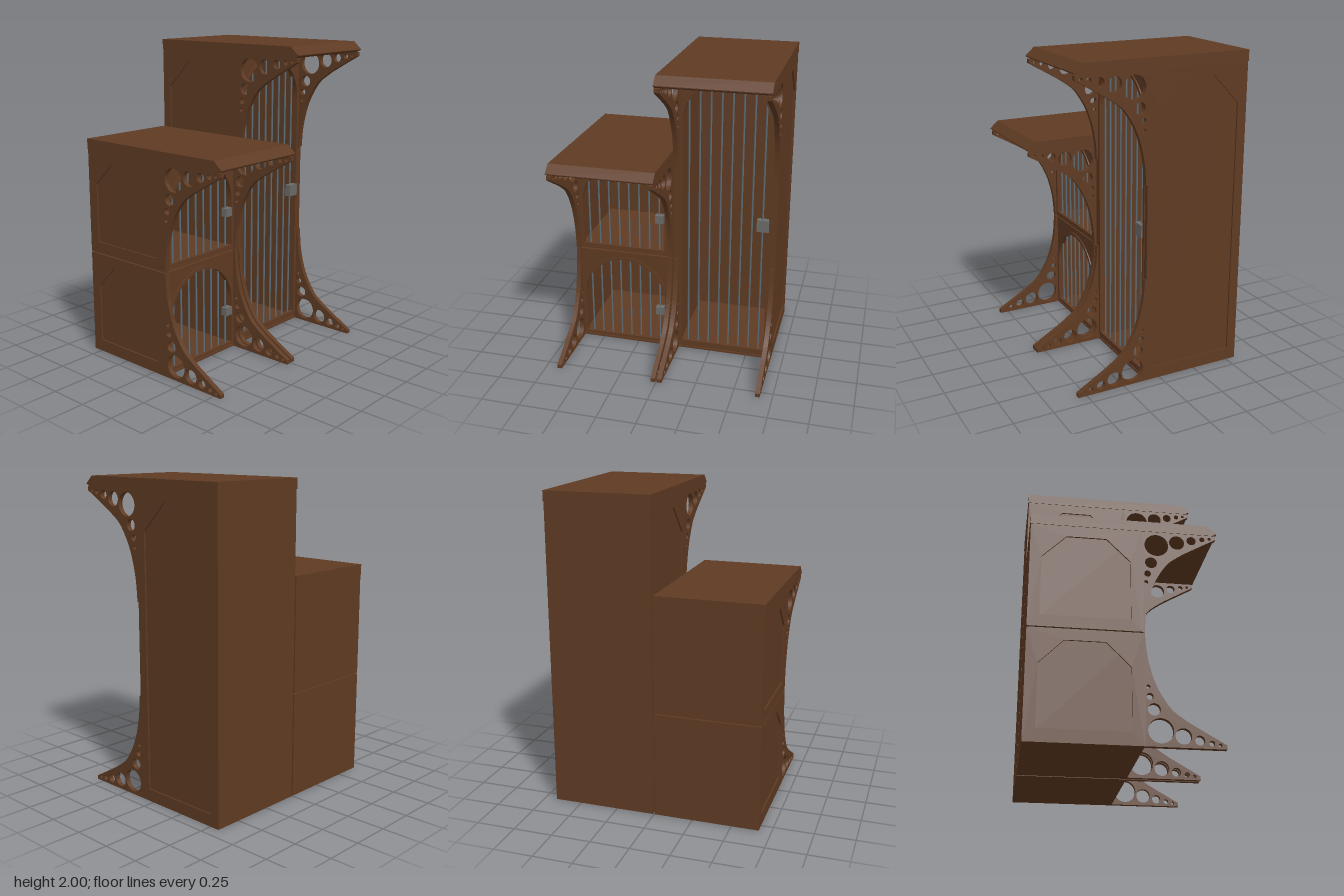
import * as THREE from 'three';

const wood = new THREE.MeshStandardMaterial({ color: 0x5e3a22 });
wood.name = 'brown wood';
const steel = new THREE.MeshStandardMaterial({ color: 0x5c6c76 });
steel.name = 'blue grey steel';
const lockMetal = new THREE.MeshStandardMaterial({ color: 0x6a6a68 });
lockMetal.name = 'grey lock metal';

const BACK = -0.565, FRONT = 0.1, WALL = 0.03;

function add(parent, name, geometry, material = wood) {
  const mesh = new THREE.Mesh(geometry, material);
  mesh.name = name;
  parent.add(mesh);
  return mesh;
}

function box(parent, name, x0, x1, y0, y1, z0, z1, material) {
  const g = new THREE.BoxGeometry(x1 - x0, y1 - y0, z1 - z0);
  g.translate((x0 + x1) / 2, (y0 + y1) / 2, (z0 + z1) / 2);
  return add(parent, name, g, material);
}

function extrude(shape, depth) {
  return new THREE.ExtrudeGeometry(shape, { depth, bevelEnabled: false, curveSegments: 24 });
}

const polygon = (pts) => new THREE.Shape(pts.map(([x, y]) => new THREE.Vector2(x, y)));
const rect = (x0, x1, y0, y1) => polygon([[x0, y0], [x1, y0], [x1, y1], [x0, y1]]);

// Round-topped outline centred on x = 0
function arch(r, bottom, top) {
  const s = new THREE.Shape();
  s.moveTo(-r, bottom);
  s.lineTo(r, bottom);
  s.lineTo(r, top - r);
  s.absarc(0, top - r, r, 0, Math.PI, false);
  s.closePath();
  return s;
}

// Side wall with a shallow recessed panel whose upper corners are cut
function sideWall(parent, y0, y1, zOuter, dir, p) {
  const frame = rect(BACK, FRONT, y0, y1);
  frame.holes.push(polygon([
    [p.x0, p.bottom], [p.x1, p.bottom], [p.x1, p.shoulder],
    [p.x1 - p.cut, p.top], [p.x0 + p.cut, p.top], [p.x0, p.shoulder],
  ]));
  const mesh = add(parent, 'sideFrame', extrude(frame, 0.01));
  mesh.position.z = dir > 0 ? zOuter - 0.01 : zOuter;
  const a = zOuter - dir * 0.01, b = zOuter - dir * WALL;
  box(parent, 'sidePanel', BACK, FRONT, y0, y1, Math.min(a, b), Math.max(a, b));
}

// Arched door with trim, bars and a lock
function door(parent, y0, y1, zc, o) {
  const r = 0.28;
  const group = new THREE.Group();
  group.name = 'door';
  group.rotation.y = Math.PI / 2; // local x runs to -z, local z to +x
  group.position.z = zc;
  parent.add(group);

  const leaf = rect(-0.303, 0.303, y0 + 0.015, y1 - 0.005);
  leaf.holes.push(arch(r, o.bottom, o.top));
  add(group, 'doorLeaf', extrude(leaf, 0.025)).position.z = FRONT - 0.03;

  const trim = arch(r + 0.02, o.bottom - 0.02, o.top + 0.02);
  trim.holes.push(arch(r, o.bottom, o.top));
  add(group, 'archTrim', extrude(trim, 0.01)).position.z = FRONT - 0.007;

  for (let i = 0; i < 8; i++) {
    const u = (i - 3.5) * 0.0685;
    const top = o.top - r + Math.sqrt(r * r - u * u);
    const bar = new THREE.CylinderGeometry(0.006, 0.006, top - o.bottom, 8);
    bar.translate(u, (top + o.bottom) / 2, FRONT - 0.018);
    add(group, 'bar', bar, steel);
  }
  const h = o.lock / 2;
  box(group, 'lock', 0.245 - h, 0.245 + h, o.lockY - h, o.lockY + h, FRONT - 0.03, FRONT + 0.012, lockMetal);
}

// Hollow box open at the front, closed by the door
function cage(parent, y0, y1, z0, z1, panel, opening) {
  const group = new THREE.Group();
  group.name = 'cage';
  parent.add(group);
  box(group, 'backWall', BACK, BACK + WALL, y0, y1, z0 + WALL, z1 - WALL);
  box(group, 'floor', BACK + WALL, FRONT - 0.03, y0, y0 + 0.02, z0 + WALL, z1 - WALL);
  box(group, 'ceiling', BACK + WALL, FRONT - 0.03, y1 - 0.02, y1, z0 + WALL, z1 - WALL);
  box(group, 'sill', FRONT - 0.03, FRONT, y0, y0 + 0.012, z0 + WALL, z1 - WALL);
  sideWall(group, y0, y1, z1, 1, panel);
  sideWall(group, y0, y1, z0, -1, panel);
  door(group, y0, y1, (z0 + z1) / 2, opening);
}

// Curved bracket pierced by shrinking round holes
const curve = new THREE.SplineCurve([
  [0.555, 0.025], [0.42, 0.102], [0.325, 0.16], [0.245, 0.227],
  [0.168, 0.36], [0.124, 0.52], [0.11, 0.672],
].map(([x, y]) => new THREE.Vector2(x, y)));
const holes = [
  [0.19, 0.092, 0.072], [0.315, 0.065, 0.046], [0.405, 0.045, 0.028], [0.472, 0.031, 0.016],
  [0.518, 0.023, 0.01], [0.155, 0.213, 0.036], [0.133, 0.288, 0.02], [0.124, 0.345, 0.012],
];

function bracketGeometry(flip) {
  const f = flip ? -1 : 1;
  const pts = [[FRONT, 0], [0.555, 0], ...curve.getPoints(30).map((p) => [p.x, p.y]), [FRONT, 0.672]];
  const shape = polygon(pts.map(([x, y]) => [x, f * y]));
  for (const [x, y, r] of holes) {
    const hole = new THREE.Path();
    hole.absarc(x, f * y, r, 0, Math.PI * 2, false);
    shape.holes.push(hole);
  }
  return extrude(shape, WALL);
}

function brackets(parent, roofBottom, z0, z1) {
  for (const z of [z0, z1 - WALL]) {
    add(parent, 'lowerBracket', bracketGeometry(false)).position.z = z;
    add(parent, 'upperBracket', bracketGeometry(true)).position.set(0, roofBottom, z);
  }
}

// Overhanging roof with a sloped front edge
function roof(parent, top, z0, z1) {
  const b = top - 0.067;
  const shape = polygon([
    [-0.567, b], [0.535, b], [0.563, b + 0.014], [0.563, top - 0.048], [0.51, top], [-0.567, top],
  ]);
  add(parent, 'roof', extrude(shape, z1 - z0)).position.z = z0;
}

export function createModel() {
  const model = new THREE.Group();
  model.name = 'cageCabinets';

  // Two stacked small cages in front
  const stack = new THREE.Group();
  stack.name = 'stackedCages';
  model.add(stack);
  const levels = [[0, 0.672, 0], [0.679, 1.348, 0.674]];
  for (const [y0, y1, dy] of levels) {
    cage(stack, y0, y1, 0.006, 0.672,
      { x0: -0.495, x1: 0.033, bottom: 0.078 + dy, shoulder: 0.457 + dy, top: 0.602 + dy, cut: 0.145 },
      { bottom: 0.04 + dy, top: 0.612 + dy, lockY: 0.264 + dy, lock: 0.055 });
  }
  brackets(stack, 1.348, 0.006, 0.672);
  roof(stack, 1.415, 0.004, 0.675);

  // One tall cage behind
  const tall = new THREE.Group();
  tall.name = 'tallCage';
  model.add(tall);
  cage(tall, 0, 1.933, -0.672, -0.006,
    { x0: -0.505, x1: 0.038, bottom: 0.078, shoulder: 1.69, top: 1.87, cut: 0.175 },
    { bottom: 0.06, top: 1.885, lockY: 0.965, lock: 0.078 });
  brackets(tall, 1.933, -0.672, -0.006);
  roof(tall, 2, -0.675, -0.003);

  return model;
}
